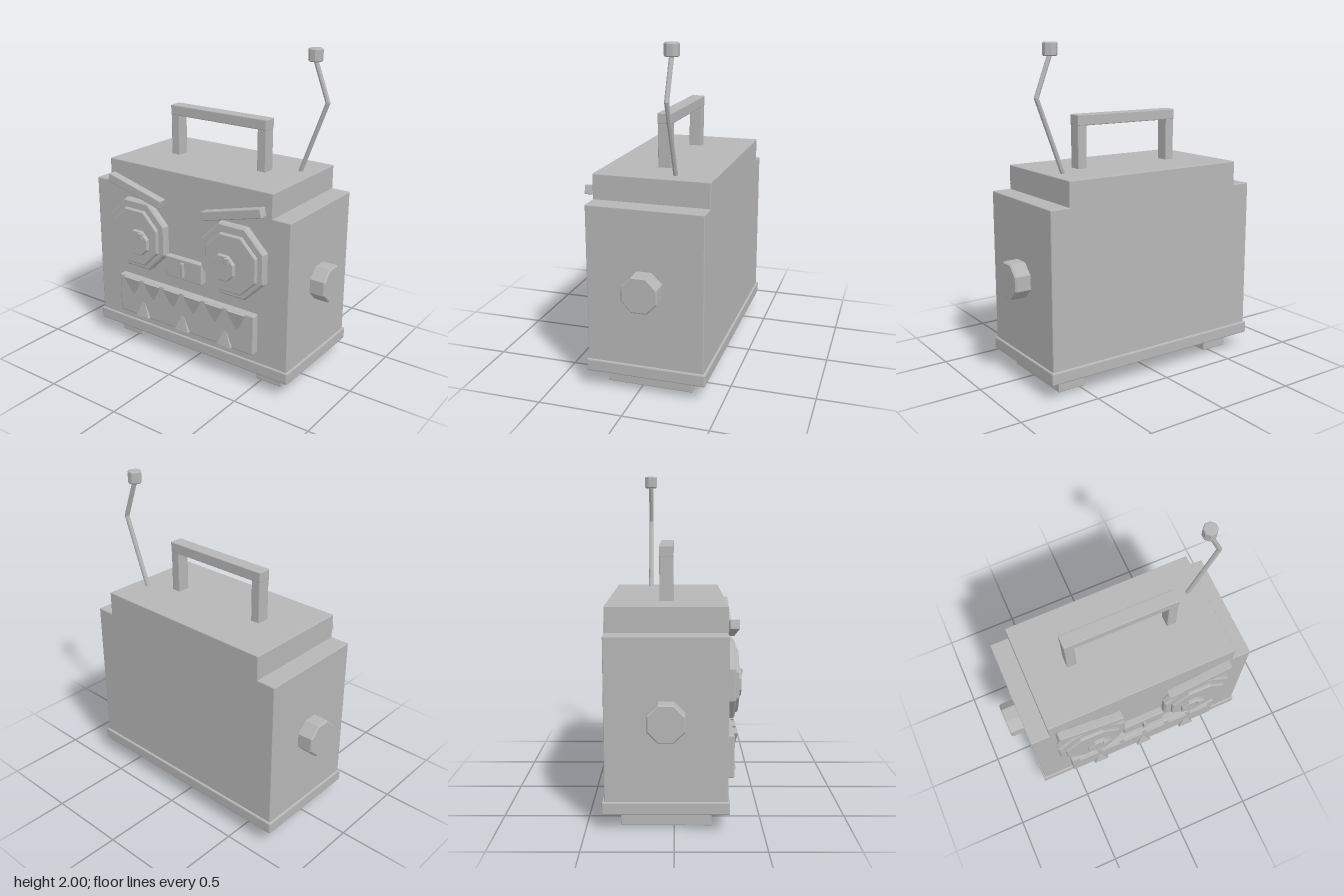
import * as THREE from 'three';
import { RoundedBoxGeometry } from 'three/addons/geometries/RoundedBoxGeometry.js';

const grey = new THREE.MeshStandardMaterial({ color: 0xb6b6b6, flatShading: true });
grey.name = 'plain grey';

export function createModel() {
  const model = new THREE.Group();
  model.name = 'robotRadio';

  const add = (name, geometry, x = 0, y = 0, z = 0) => {
    const mesh = new THREE.Mesh(geometry, grey);
    mesh.name = name;
    mesh.position.set(x, y, z);
    model.add(mesh);
    return mesh;
  };

  // Box with slightly chamfered edges, given by its limits
  const box = (name, x0, x1, y0, y1, z0, z1, bevel = 0.005) =>
    add(name, new RoundedBoxGeometry(x1 - x0, y1 - y0, z1 - z0, 1, bevel),
      (x0 + x1) / 2, (y0 + y1) / 2, (z0 + z1) / 2);

  // Eight-sided disc standing on y = 0, flats along the axes, chamfered on top
  const octagon = (apothem, height, bevel = 0.008) => {
    const r = apothem / Math.cos(Math.PI / 8);
    const profile = [[0, 0], [r - bevel, 0], [r, bevel], [r, height - bevel], [r - bevel, height], [0, height]];
    return new THREE.LatheGeometry(profile.map(p => new THREE.Vector2(...p)), 8, Math.PI / 8);
  };
  const faceOctagon = (apothem, height, bevel) => octagon(apothem, height, bevel).rotateX(Math.PI / 2);

  // Four-sided tapered tooth, point up
  const tooth = (width, height, depth, tip) => {
    const s = Math.SQRT1_2;
    return new THREE.CylinderGeometry(tip * s, s, height, 4)
      .rotateY(Math.PI / 4).scale(width, 1, depth);
  };

  // Case
  box('body', -0.73, 0.73, 0.17, 1.11, -0.392, 0.302);
  box('topSlab', -0.61, 0.61, 1.1, 1.26, -0.392, 0.302);
  box('base', -0.742, 0.742, 0.1, 0.175, -0.405, 0.312, 0.008);

  // Carrying handle
  box('handleBar', -0.36, 0.36, 1.515, 1.58, -0.09, -0.005);

  for (const s of [-1, 1]) {
    const mirrored = (name, a, b, ...rest) => box(name, Math.min(s * a, s * b), Math.max(s * a, s * b), ...rest);
    mirrored('foot', 0.465, 0.645, 0, 0.105, -0.305, 0.214);
    mirrored('handlePost', 0.297, 0.358, 1.25, 1.52, -0.088, -0.007);

    // Side knobs
    add('sideKnob', octagon(0.106, 0.108).rotateZ(-s * Math.PI / 2), s * 0.72, 0.645, -0.045);

    // Eyes
    add('eyeRim', faceOctagon(0.225, 0.055, 0.012), s * 0.364, 0.808, 0.296);
    add('eyeLens', faceOctagon(0.181, 0.03, 0.008), s * 0.367, 0.798, 0.341);
    add('pupil', faceOctagon(0.08, 0.03, 0.005), s * 0.328, 0.773, 0.364);
    const glintX = s * 0.328 + 0.035;
    box('glint', glintX - 0.017, glintX + 0.017, 0.809, 0.845, 0.385, 0.405, 0.002);

    // Angry brows
    const brow = box('brow', s * 0.366 - 0.213, s * 0.366 + 0.213, 1.073, 1.129, 0.312, 0.367);
    brow.rotation.z = s * 0.251;
  }

  // Nose plate with slit
  box('nose', -0.14, 0.14, 0.588, 0.722, 0.296, 0.343);
  box('noseSlit', -0.009, 0.009, 0.608, 0.703, 0.338, 0.362, 0.002);

  // Mouth and teeth
  box('mouth', -0.525, 0.525, 0.24, 0.498, 0.296, 0.35, 0.008);
  for (let i = 0; i < 6; i++) {
    const upper = add('upperTooth', tooth(0.13, 0.122, 0.046, 0.02), (i - 2.5) * 0.163, 0.433, 0.347);
    upper.rotation.z = Math.PI;
  }
  for (let i = -1; i <= 1; i++) {
    add('lowerTooth', tooth(0.102, 0.092, 0.046, 0.2), i * 0.323, 0.295, 0.347);
  }

  // Bent antenna
  const az = -0.162;
  const joints = [[0.503, 1.24], [0.674, 1.695], [0.585, 1.93]].map(p => new THREE.Vector3(...p, az));
  for (let i = 0; i < 2; i++) {
    const along = joints[i + 1].clone().sub(joints[i]);
    const rod = add('antennaRod', new THREE.CylinderGeometry(0.0145, 0.0145, along.length() + 0.008, 8));
    rod.position.copy(joints[i]).addScaledVector(along, 0.5);
    rod.quaternion.setFromUnitVectors(new THREE.Vector3(0, 1, 0), along.normalize());
  }
  add('antennaTip', octagon(0.04, 0.076, 0.006), 0.583, 1.924, az);

  return model;
}
